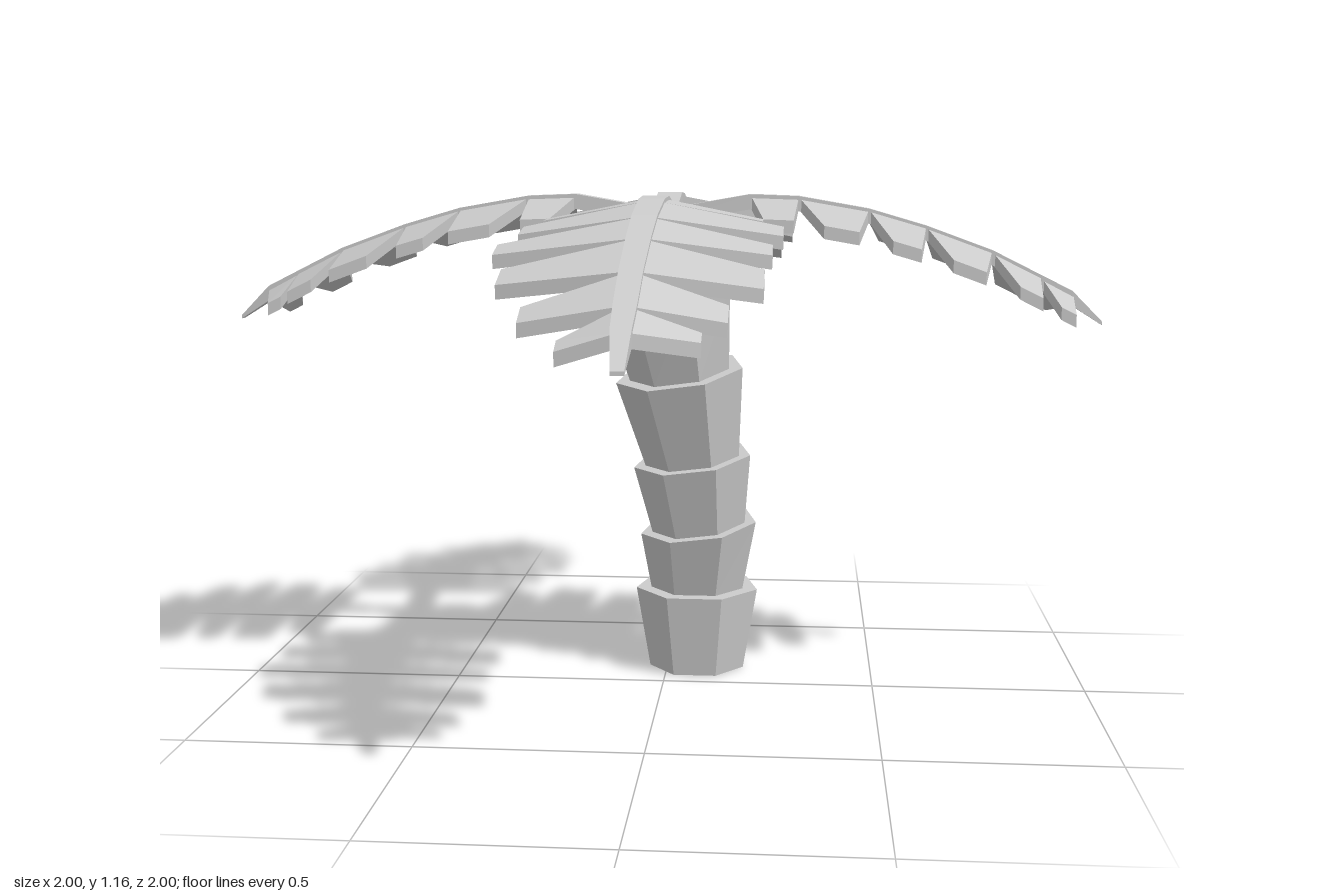
import * as THREE from 'three';

const material = new THREE.MeshStandardMaterial({ color: 0xcccccc, flatShading: true });
const lerp = THREE.MathUtils.lerp;

// Moves every vertex of a geometry by a rule, then makes it faceted.
function reshape(geometry, rule) {
  const pos = geometry.attributes.position;
  const v = new THREE.Vector3();
  for (let i = 0; i < pos.count; i++) {
    v.fromBufferAttribute(pos, i);
    rule(v);
    pos.setXYZ(i, v.x, v.y, v.z);
  }
  const flat = geometry.toNonIndexed();
  flat.computeVertexNormals();
  return flat;
}

function part(name, geometry) {
  const mesh = new THREE.Mesh(geometry, material);
  mesh.name = name;
  return mesh;
}

// Trunk rims from the ground up: centre, slope of the rim, radius below and at the rim
const RIMS = [
  { x: 0.072, y: 0, z: -0.155, sx: 0, sz: 0 },
  { x: 0.072, y: 0.2, z: -0.155, sx: 0, sz: 0, low: 0.118, high: 0.152 },
  { x: 0.077, y: 0.36, z: -0.13, sx: 0.12, sz: -0.09, low: 0.115, high: 0.143 },
  { x: 0.063, y: 0.53, z: -0.1, sx: 0.12, sz: -0.1, low: 0.115, high: 0.143 },
  { x: 0.035, y: 0.745, z: -0.057, sx: 0.13, sz: -0.15, low: 0.115, high: 0.153 },
  { x: 0.002, y: 0.95, z: -0.015, sx: 0.04, sz: -0.04, low: 0.12, high: 0.157 },
];

function trunkSegment(a, b) {
  return reshape(new THREE.CylinderGeometry(b.high, b.low, 1, 7, 1, false, Math.PI), (v) => {
    const t = v.y + 0.5;
    v.y = lerp(a.y, b.y, t) + lerp(a.sx, b.sx, t) * v.x + lerp(a.sz, b.sz, t) * v.z;
    v.x += lerp(a.x, b.x, t);
    v.z += lerp(a.z, b.z, t);
  });
}

// Height of a frond's spine at distance r from the crown
const SPINE = [[0, 1.125], [0.2, 1.16], [0.31, 1.156], [0.47, 1.128], [0.6, 1.09],
  [0.75, 1.035], [0.86, 0.98], [0.93, 0.945], [1, 0.875]];
function spineHeight(r) {
  let i = 1;
  while (i < SPINE.length - 1 && r > SPINE[i][0]) i++;
  const [r0, y0] = SPINE[i - 1], [r1, y1] = SPINE[i];
  return lerp(y0, y1, (r - r0) / (r1 - r0));
}

// Leaflets: root start and end, then [tip start, tip end, reach] for the +z and -z sides
const LEAFLETS = [
  [0.2, 0.31, [0.235, 0.3, 0.235], [0.23, 0.295, 0.235]],
  [0.31, 0.47, [0.365, 0.44, 0.265], [0.355, 0.445, 0.28]],
  [0.47, 0.6, [0.51, 0.57, 0.295], [0.505, 0.565, 0.26]],
  [0.6, 0.75, [0.64, 0.71, 0.265], [0.635, 0.72, 0.247]],
  [0.75, 0.86, [0.79, 0.84, 0.203], [0.78, 0.835, 0.185]],
  [0.86, 0.935, [0.892, 0.925, 0.122], [0.865, 0.895, 0.14]],
];

// Tapered, drooping slab running sideways from the spine
function leaflet(r0, r1, [t0, t1, reach], side) {
  return reshape(new THREE.BoxGeometry(1, 1, 1), (v) => {
    const out = side * v.z + 0.5;
    const along = v.x + 0.5;
    const rootR = lerp(r0, r1, along);
    const r = lerp(rootR, lerp(t0, t1, along), out);
    v.set(r, spineHeight(r) - 0.045 * out + (v.y - 0.5) * 0.028, side * reach * out);
  });
}

// Spine of the frond, narrowing to a thin spike
function spine() {
  const steps = SPINE.length - 1;
  return reshape(new THREE.BoxGeometry(steps, 1, 1, steps, 1, 1), (v) => {
    const [r, y] = SPINE[Math.round(v.x + steps / 2)];
    const halfWidth = r < 0.9 ? 0.031 - 0.01 * r : 0.02 - 0.1 * (r - 0.93);
    const depth = r > 0.99 ? 0.008 : 0.034;
    v.set(r, y + 0.003 + (v.y - 0.5) * depth, v.z * 2 * halfWidth);
  });
}

function frond() {
  const group = new THREE.Group();
  group.add(part('frondSpine', spine()));
  for (const [r0, r1, front, back] of LEAFLETS) {
    group.add(part('leaflet', leaflet(r0, r1, front, 1)));
    group.add(part('leaflet', leaflet(r0, r1, back, -1)));
  }
  return group;
}

export function createModel() {
  const model = new THREE.Group();
  model.name = 'palmTree';

  // Stacked flaring trunk segments
  const trunk = new THREE.Group();
  trunk.name = 'trunk';
  for (let i = 1; i < RIMS.length; i++) {
    trunk.add(part('trunkSegment', trunkSegment(RIMS[i - 1], RIMS[i])));
  }

  // Pointed cap joining the trunk to the fronds
  const top = RIMS[RIMS.length - 1];
  const cap = reshape(new THREE.ConeGeometry(top.high, 1, 7, 1, true, Math.PI), (v) => {
    const t = v.y + 0.5;
    v.y = lerp(top.y + top.sx * v.x + top.sz * v.z, 1.115, t);
    v.x += lerp(top.x, 0, t);
    v.z += lerp(top.z, 0, t);
  });
  trunk.add(part('trunkCap', cap));
  model.add(trunk);

  // Four equal fronds around the crown
  for (let i = 0; i < 4; i++) {
    const f = frond();
    f.name = 'frond';
    f.rotation.y = (i * Math.PI) / 2;
    model.add(f);
  }
  return model;
}
